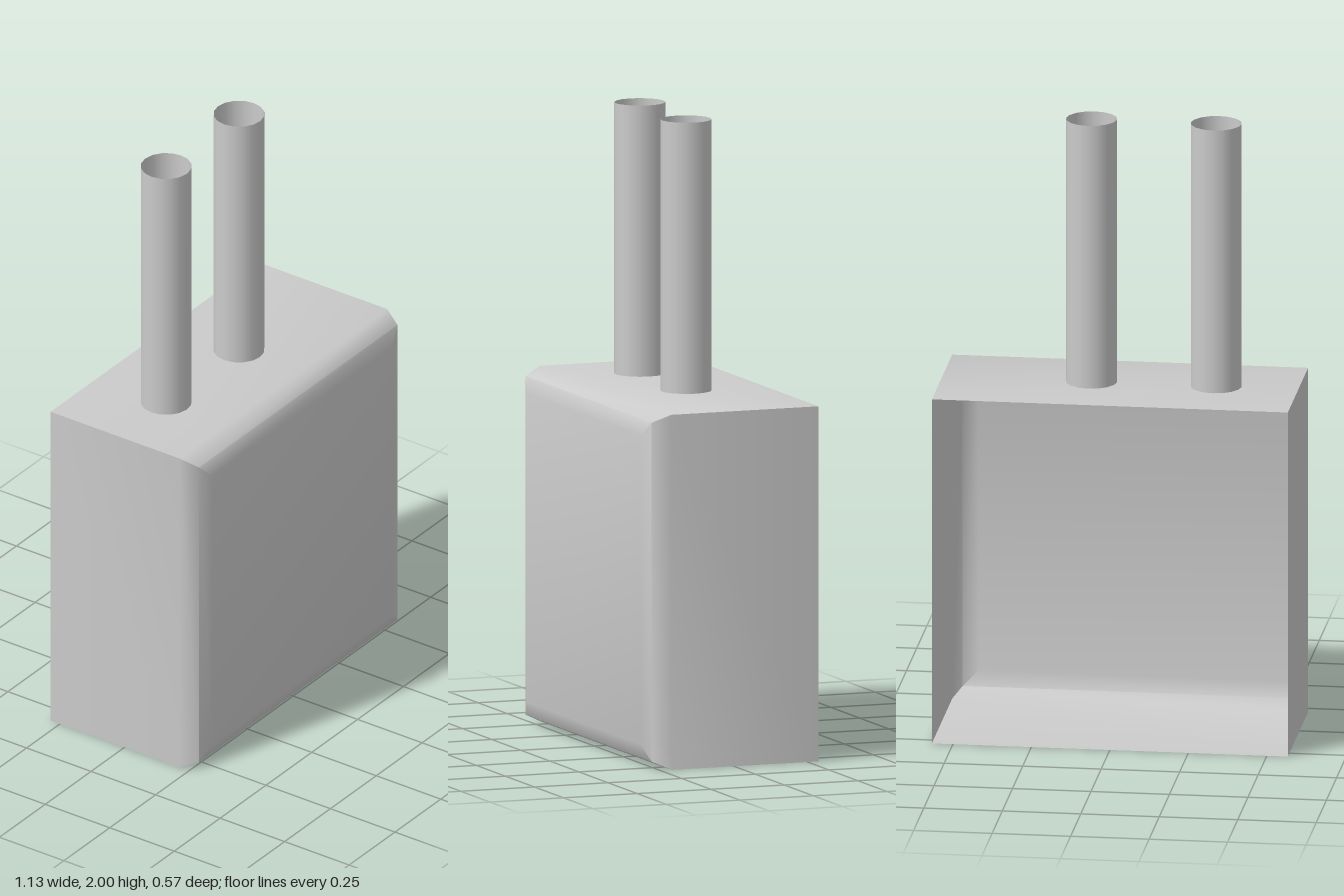
import * as THREE from 'three';
import { toCreasedNormals } from 'three/addons/utils/BufferGeometryUtils.js';

const material = new THREE.MeshStandardMaterial({ color: 0xcccccc, side: THREE.DoubleSide });

// Open-backed square shell: square rings [half width, z] joined by quads, closed at the front
function shellGeometry(rings) {
  const corners = [[-1, -1], [1, -1], [1, 1], [-1, 1]];
  const positions = [];
  const quad = (a, b, c, d) => positions.push(...a, ...b, ...c, ...a, ...c, ...d);
  const point = ([half, z], i) => [corners[i % 4][0] * half, corners[i % 4][1] * half, z];

  for (let r = 0; r < rings.length - 1; r++) {
    for (let i = 0; i < 4; i++) {
      quad(point(rings[r], i), point(rings[r], i + 1), point(rings[r + 1], i + 1), point(rings[r + 1], i));
    }
  }
  const front = rings[rings.length - 1];
  quad(point(front, 0), point(front, 1), point(front, 2), point(front, 3));

  const geometry = new THREE.BufferGeometry();
  geometry.setAttribute('position', new THREE.Float32BufferAttribute(positions, 3));
  return toCreasedNormals(geometry, THREE.MathUtils.degToRad(50));
}

export function createModel() {
  const group = new THREE.Group();
  const half = 0.567;

  // Hollow housing with a softened front edge
  const housing = new THREE.Mesh(
    shellGeometry([[half, -0.287], [half, 0.212], [0.541, 0.27], [0.492, 0.287]]),
    material
  );
  housing.name = 'housing';
  housing.position.y = half;
  group.add(housing);

  // Two open pipes standing on the housing
  const bottom = half * 2;
  const height = 2 - bottom;
  const pipeGeometry = new THREE.CylinderGeometry(0.081, 0.081, height, 16, 1, true);
  for (const [name, x] of [['rightPipe', -0.305], ['leftPipe', 0.092]]) {
    const pipe = new THREE.Mesh(pipeGeometry, material);
    pipe.name = name;
    pipe.position.set(x, bottom + height / 2, -0.025);
    group.add(pipe);
  }
  return group;
}
